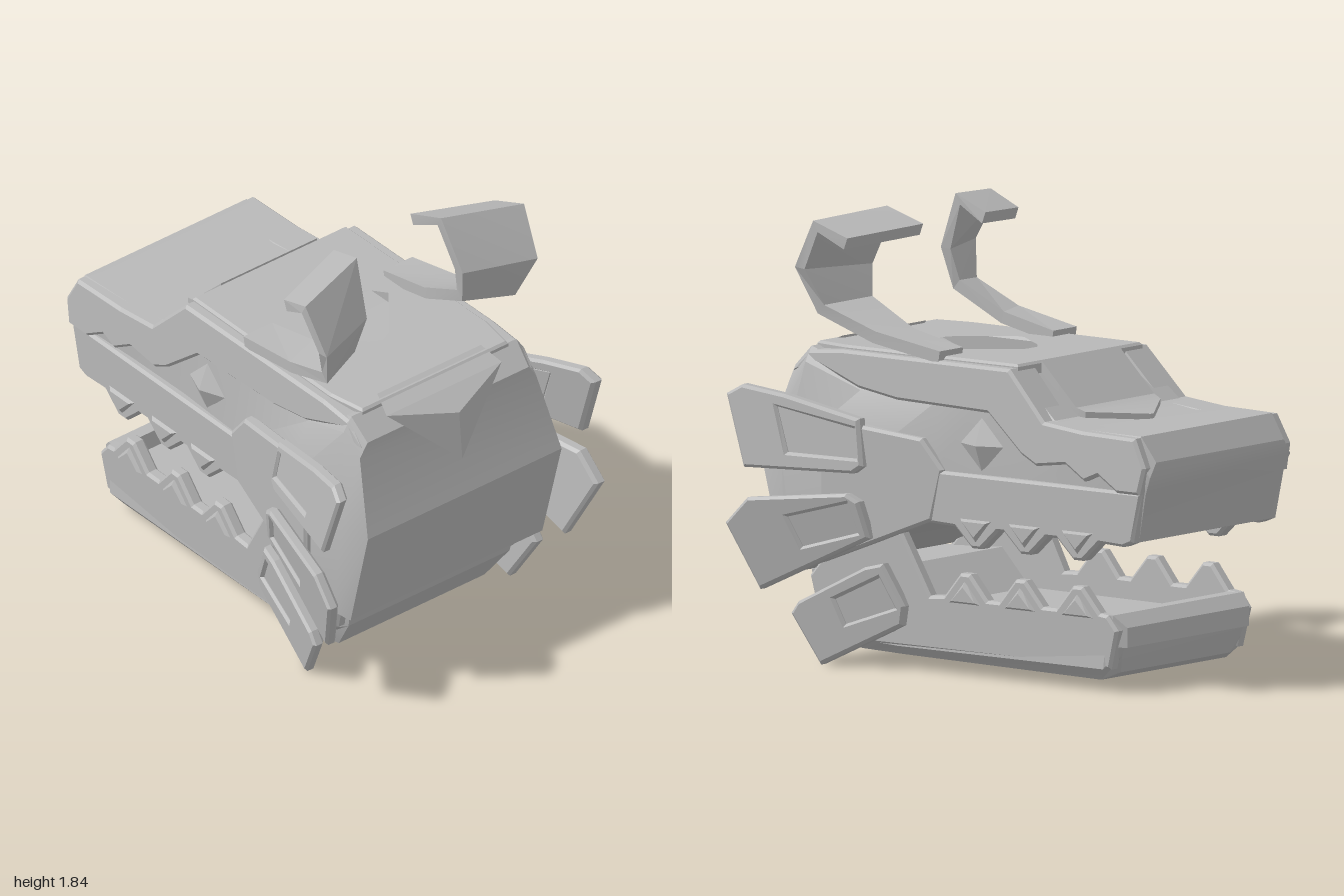
import * as THREE from 'three';
import { toCreasedNormals } from 'three/addons/utils/BufferGeometryUtils.js';
import { ConvexGeometry } from 'three/addons/geometries/ConvexGeometry.js';

const grey = new THREE.MeshStandardMaterial({ color: 0xb8b8b8 });
grey.name = 'grey';
const V = (x, y, z) => new THREE.Vector3(x, y, z);
const path = (C, pts) => new C(pts.map(([a, b]) => new THREE.Vector2(a, b)));

export function createModel() {
  const root = new THREE.Group();
  const add = (name, geo) => {
    const m = new THREE.Mesh(geo, grey);
    m.name = name;
    root.add(m);
  };

  // Adds a part on the left and its mirror image on the right
  const addPair = (name, geo) => {
    add(name + 'Left', geo);
    const g = geo.index ? geo.toNonIndexed() : geo.clone();
    const p = g.attributes.position;
    for (let i = 0; i < p.count; i += 3) {
      const t = [0, 2, 1].map(k => V(-p.getX(i + k), p.getY(i + k), p.getZ(i + k)));
      t.forEach((v, k) => p.setXYZ(i + k, v.x, v.y, v.z));
    }
    g.computeVertexNormals();
    add(name + 'Right', g);
  };

  // Skin over rings of points, closed at both ends
  const loft = (rings, crease = 0.3) => {
    const n = rings[0].length, pos = [], idx = [];
    rings.flat().forEach(v => pos.push(v.x, v.y, v.z));
    for (let r = 0; r < rings.length - 1; r++) for (let i = 0; i < n; i++) {
      const a = r * n + i, b = r * n + (i + 1) % n, c = b + n, d = a + n;
      idx.push(a, d, c, a, c, b);
    }
    const e = (rings.length - 1) * n;
    for (let i = 0; i < n / 2 - 1; i++) {
      const a = i, b = i + 1, c = n - 2 - i, d = n - 1 - i;
      idx.push(b, c, d, b, d, a);
      idx.push(e + b, e + a, e + d, e + b, e + d, e + c);
    }
    const g = new THREE.BufferGeometry();
    g.setAttribute('position', new THREE.Float32BufferAttribute(pos, 3));
    g.setIndex(idx);
    return toCreasedNormals(g, crease);
  };
  const symmetric = half => [...half, ...half.map(v => V(-v.x, v.y, v.z)).reverse()];

  // Bevelled side plate drawn in (z, y); outerX gives its outer face
  const plate = (pts, outerX, t, bevel = 0.012, hole) => {
    const s = path(THREE.Shape, pts);
    if (hole) s.holes.push(path(THREE.Path, hole));
    const g = new THREE.ExtrudeGeometry(s, {
      depth: t - 2 * bevel, bevelEnabled: bevel > 0, bevelThickness: bevel,
      bevelSize: bevel, bevelOffset: -bevel, bevelSegments: 1,
    });
    g.rotateY(-Math.PI / 2).translate(-bevel, 0, 0);
    const p = g.attributes.position;
    for (let i = 0; i < p.count; i++) p.setX(i, p.getX(i) + outerX(p.getZ(i), p.getY(i)));
    g.computeVertexNormals();
    return g;
  };

  // Skull: z, y and half width at top, middle and bottom
  add('skull', loft([
    [-1.0, 0.97, 0.45, -0.97, 0.84, 0.44, -0.92, 0.64, 0.42],
    [-0.93, 1.07, 0.46, -0.92, 0.84, 0.45, -0.88, 0.63, 0.44],
    [-0.62, 1.07, 0.45, -0.62, 0.84, 0.44, -0.62, 0.63, 0.44],
    [-0.47, 1.09, 0.44, -0.47, 0.84, 0.44, -0.47, 0.63, 0.44],
    [-0.28, 1.25, 0.42, -0.28, 0.84, 0.44, -0.28, 0.63, 0.44],
    [-0.1, 1.19, 0.43, -0.1, 0.84, 0.45, -0.1, 0.63, 0.45],
    [0.1, 1.19, 0.43, 0.1, 0.84, 0.46, 0.1, 0.64, 0.46],
    [0.5, 1.19, 0.44, 0.45, 0.84, 0.53, 0.45, 0.5, 0.52],
    [0.76, 1.285, 0.47, 0.83, 0.84, 0.535, 0.77, 0.38, 0.53],
    [0.85, 1.2, 0.46, 0.955, 0.82, 0.505, 0.84, 0.36, 0.5],
  ].map(([zT, yT, wT, zM, yM, wM, zB, yB, wB]) => symmetric([
    V(wT - 0.04, yT, zT), V(wT, yT - 0.06, zT), V(wM, yM, zM), V(wB, yB, zB),
  ])), 0.45));

  // Crown plate with a diamond pit
  const crown = path(THREE.Shape, [[-0.4, 0.28], [0.4, 0.28], [0.41, -0.6], [0.38, -0.77], [-0.38, -0.77], [-0.41, -0.6]]);
  crown.holes.push(path(THREE.Path, [[-0.04, 0.04], [0.04, 0.04], [0.09, 0], [0.24, -0.2],
    [0.06, -0.42], [0, -0.45], [-0.06, -0.42], [-0.24, -0.2], [-0.09, 0]]));
  add('crown', new THREE.ExtrudeGeometry(crown, {
    depth: 0.11, bevelThickness: 0.01, bevelSize: 0.01, bevelOffset: -0.01, bevelSegments: 1,
  }).rotateX(-Math.PI / 2).translate(0, 1.18, 0));

  // Pointed plate running down to the nose
  add('nosePlate', loft([[-0.65, 1.09, 0.01], [-0.5, 1.11, 0.24], [-0.46, 1.125, 0.25], [-0.28, 1.3, 0.25]]
    .map(([z, y, w]) => symmetric([V(w, y, z), V(w, y - 0.06, z)]))));

  // Triangular gem on the back of the skull
  add('backGem', new ConvexGeometry([V(0.3, 1.265, 0.825), V(-0.3, 1.265, 0.825), V(0, 0.985, 0.94), V(0, 1.2, 0.92),
    V(0.27, 1.31, 0.73), V(-0.27, 1.31, 0.73), V(0, 1.0, 0.8)]));

  // Deep brow and side of the snout, with a jagged lower edge
  addPair('brow', plate([[0.84, 1.18], [0.76, 1.27], [0.6, 1.285], [-0.27, 1.285], [-0.46, 1.09], [-0.66, 1.07],
    [-0.93, 1.065], [-0.99, 0.95], [-0.965, 0.84], [-0.85, 0.84], [-0.75, 0.9], [-0.68, 0.87], [-0.58, 0.93],
    [-0.43, 0.91], [-0.35, 0.95], [-0.17, 1.1], [0.3, 1.11], [0.5, 1.14], [0.72, 1.22]],
  (z, y) => 0.475 - 0.08 * (y - 0.95), 0.17));

  // Saw-tooth edge helper: teeth centred on each z
  const saw = (zs, base, tip) => zs.flatMap(z =>
    [[z + 0.11, base], [z + 0.025, tip], [z - 0.025, tip], [z - 0.11, base]]);
  const upperZ = [-0.12, -0.37, -0.64], lowerZ = [-0.05, -0.33, -0.62];
  const upperX = z => 0.475 + 0.01 * z;
  addPair('upperLip', plate([[-0.965, 0.845], [0.06, 0.845], [0.13, 0.93], [0.13, 0.63],
    ...saw(upperZ, 0.625, 0.545), [-0.87, 0.62], [-0.92, 0.64]], upperX, 0.07));
  addPair('cheek', plate([[0.05, 0.85], [0.15, 0.97], [0.42, 1.0], [0.62, 1.02], [0.62, 0.43], [0.42, 0.51], [0.1, 0.64]],
    z => 0.483 + 0.14 * (z - 0.1), 0.06));

  // Eyes
  addPair('eye', new THREE.OctahedronGeometry(0.11).scale(0.4, 1, 1).translate(0.445, 0.965, -0.13));

  // Lower jaw
  add('jaw', loft([
    [-0.83, 0.25, 0.39, -0.8, 0.16, 0.38, -0.77, 0.09, 0.35],
    [-0.76, 0.25, 0.43, -0.75, 0.11, 0.44, -0.71, 0.06, 0.4],
    [0.3, 0.25, 0.44, 0.3, 0.11, 0.45, 0.3, 0.07, 0.4],
    [0.45, 0.4, 0.45, 0.52, 0.12, 0.45, 0.52, 0.075, 0.4],
    [0.76, 0.38, 0.43, 0.73, 0.24, 0.42, 0.62, 0.08, 0.38],
  ].map(([zT, yT, wT, zM, yM, wM, zB, yB, wB]) => symmetric([V(wT, yT, zT), V(wM, yM, zM), V(wB, yB, zB)]))));
  add('frontLip', loft([[-0.835, 0.28, 0.39], [-0.785, 0.33, 0.42], [-0.73, 0.33, 0.42]]
    .map(([z, y, w]) => symmetric([V(w, y, z), V(w, 0.2, z)]))));
  const lowerX = (z, y) => 0.455 + 0.03 * (y - 0.3) + 0.02 * z;
  addPair('jawSide', plate([[0.6, 0.52], [0.27, 0.58], [0.13, 0.33], ...saw(lowerZ, 0.335, 0.435),
    [-0.77, 0.33], [-0.82, 0.27], [-0.78, 0.11], [0.56, 0.11], [0.71, 0.24], [0.74, 0.36]], lowerX, 0.06));

  // Raised triangles on the teeth
  for (const z of upperZ) addPair('upperTooth', plate([[z + 0.085, 0.665], [z - 0.085, 0.665], [z, 0.565]],
    a => upperX(a) + 0.015, 0.04, 0.02));
  for (const z of lowerZ) addPair('lowerTooth', plate([[z + 0.085, 0.31], [z - 0.085, 0.31], [z, 0.41]],
    (a, y) => lowerX(a, y) + 0.015, 0.04, 0.02));

  // Flared cheek fins, each a frame with a sunken panel
  const fins = [
    { out: [[0.995, 1.1], [0.93, 1.14], [0.75, 1.11], [0.43, 1.03], [0.4, 0.84], [0.44, 0.81], [0.9, 0.81]],
      hole: [[0.78, 1.06], [0.45, 0.99], [0.43, 0.87], [0.72, 0.88]],
      x: (z, y) => 0.545 + 0.28 * (z - 0.4) - 0.12 * (y - 0.95) },
    { out: [[0.975, 0.58], [0.87, 0.69], [0.45, 0.73], [0.4, 0.7], [0.37, 0.55], [0.86, 0.31]],
      hole: [[0.71, 0.62], [0.45, 0.69], [0.42, 0.57], [0.66, 0.5]],
      x: (z, y) => 0.55 + 0.28 * (z - 0.4) + 0.18 * (y - 0.5) },
    { out: [[0.735, 0.22], [0.62, 0.015], [0.25, 0.2], [0.235, 0.28], [0.32, 0.45], [0.4, 0.43], [0.7, 0.27]],
      hole: [[0.54, 0.29], [0.34, 0.39], [0.28, 0.27], [0.5, 0.19]],
      x: (z, y) => 0.5 + 0.23 * (z - 0.3) + 0.1 * (y - 0.2) },
  ];
  for (const { out, hole, x } of fins) {
    addPair('fin', plate(out, x, 0.055, 0.012, hole));
    addPair('finPanel', plate(hole, (z, y) => x(z, y) - 0.015, 0.035, 0));
  }

  // Curled horns: outer and inner edge points swept as a flat ribbon
  const horn = [
    [V(0.44, 1.275, 0.1), V(0.29, 1.275, 0.1)],
    [V(0.46, 1.33, 0.42), V(0.29, 1.33, 0.36)],
    [V(0.49, 1.43, 0.68), V(0.28, 1.45, 0.6)],
    [V(0.55, 1.62, 0.75), V(0.25, 1.62, 0.64)],
    [V(0.57, 1.82, 0.64), V(0.22, 1.85, 0.54)],
    [V(0.55, 1.76, 0.48), V(0.2, 1.79, 0.37)],
  ];
  addPair('horn', loft(horn.map(([o, i], k) => {
    const a = horn[Math.max(k - 1, 0)][0], b = horn[Math.min(k + 1, horn.length - 1)][0];
    const n = V(0, b.z - a.z, a.y - b.y).normalize().multiplyScalar(0.05);
    return [o.clone().add(n), o, i, i.clone().add(n)];
  })));

  return root;
}
